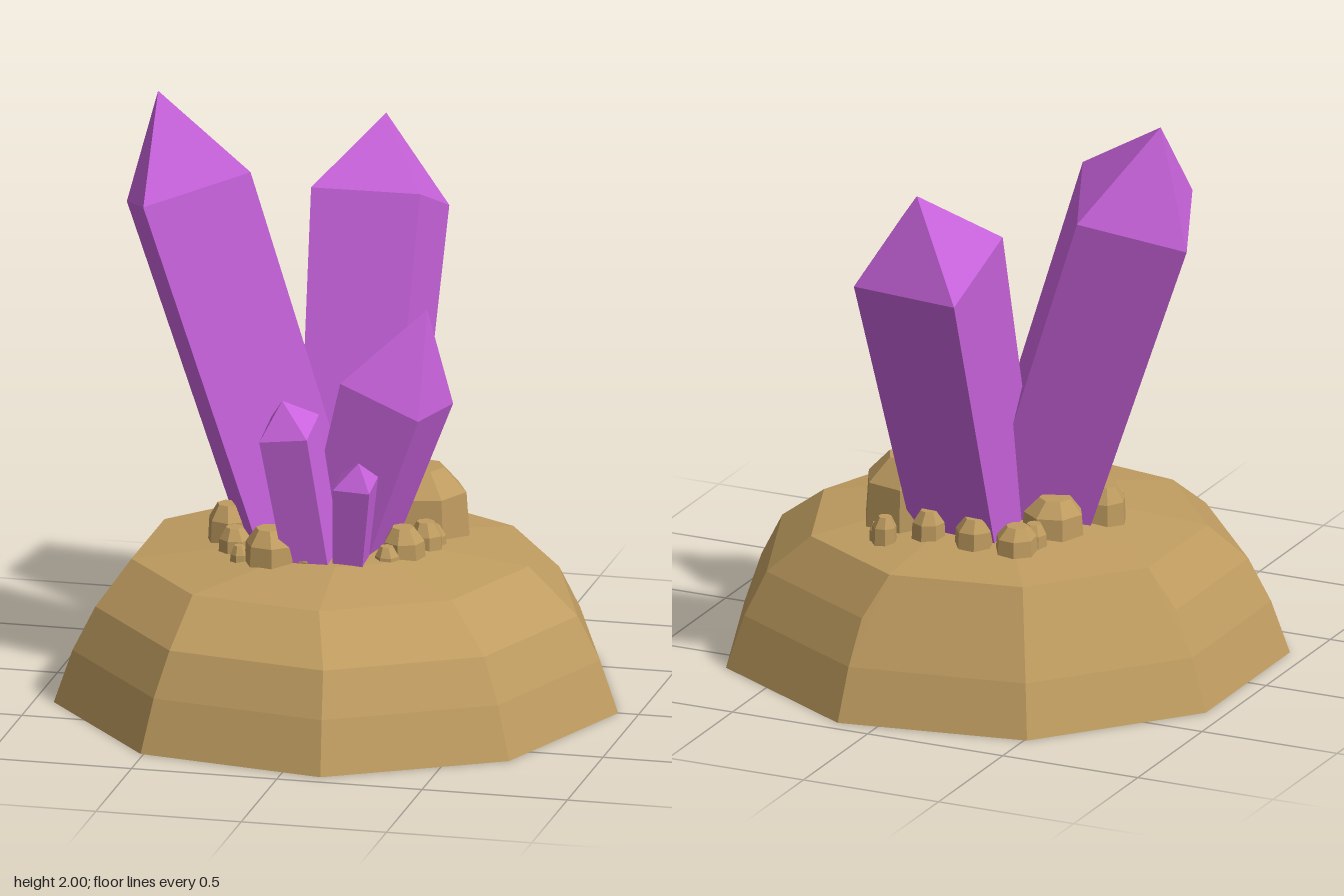
import * as THREE from 'three';
import { ConvexGeometry } from 'three/addons/geometries/ConvexGeometry.js';

const V = (x, y, z) => new THREE.Vector3(x, y, z);

// Points of a horizontal regular polygon
function ring(sides, radius, cx, y, cz, turn = 0) {
  return Array.from({ length: sides }, (_, i) => {
    const a = turn + (i / sides) * Math.PI * 2;
    return V(cx + radius * Math.cos(a), y, cz + radius * Math.sin(a));
  });
}

export function createModel() {
  const model = new THREE.Group();
  const stone = new THREE.MeshStandardMaterial({ color: 0xbf9c60, flatShading: true });
  stone.name = 'sandstone';
  const purple = new THREE.MeshStandardMaterial({ color: 0xc963dd, flatShading: true });
  purple.name = 'purple crystal';

  function addHull(name, points, material, parent = model) {
    const mesh = new THREE.Mesh(new ConvexGeometry(points), material);
    mesh.name = name;
    parent.add(mesh);
  }

  // Nine-sided mound whose upper rings drift off centre
  addHull('moundBase', [
    ...ring(9, 0.96, -0.03, 0, 0),
    ...ring(9, 0.897, -0.03, 0.18, 0),
    ...ring(9, 0.82, -0.03, 0.33, 0),
    ...ring(9, 0.675, -0.07, 0.47, -0.065),
    ...ring(9, 0.3, -0.03, 0.525, -0.02),
    V(-0.02, 0.545, 0.02),
  ], stone);

  // Four-sided crystals: shoulder centre, two half diagonals, foot centre, foot scale and tip
  const crystals = [
    ['leftCrystal', [-0.585, 1.685, -0.15], [-0.235, -0.095, -0.09], [-0.095, -0.005, 0.25],
      [-0.13, 0.45, -0.01], 0.92, [-0.7, 2, -0.19]],
    ['backCrystal', [-0.038, 1.555, -0.607], [0.198, -0.065, -0.163], [-0.182, -0.075, -0.183],
      [-0.03, 0.45, -0.2], 0.82, [-0.04, 1.82, -0.7]],
    ['rightCrystal', [0.165, 1.058, -0.01], [0.115, -0.04, 0.17], [0.165, -0.058, -0.12],
      [-0.02, 0.45, 0], 0.75, [0.27, 1.36, -0.01]],
    ['smallLeftCrystal', [-0.15, 0.98, 0.215], [0.082, -0.01, 0.087], [-0.082, -0.03, 0.085],
      [-0.07, 0.45, 0.17], 0.9, [-0.17, 1.08, 0.23]],
    ['smallFrontCrystal', [0.083, 0.81, 0.235], [0.063, -0.015, 0.062], [-0.063, -0.01, 0.062],
      [0.05, 0.45, 0.18], 0.75, [0.1, 0.89, 0.26]],
  ];
  for (const [name, c, u, v, foot, scale, tip] of crystals) {
    const points = [V(...tip)];
    for (const half of [u, v]) {
      for (const sign of [1, -1]) {
        points.push(V(...c).addScaledVector(V(...half), sign));
        points.push(V(...foot).addScaledVector(V(...half), sign * scale));
      }
    }
    addHull(name, points, purple);
  }

  // Faceted rocks around the crystal feet: x, z, radius, top height
  const rocks = new THREE.Group();
  rocks.name = 'rocks';
  model.add(rocks);
  const rockData = [
    [0.19, -0.27, 0.165, 0.73], [-0.31, -0.2, 0.11, 0.63], [-0.27, -0.41, 0.075, 0.59],
    [-0.3, -0.34, 0.05, 0.58], [-0.12, -0.42, 0.07, 0.6], [0.05, -0.42, 0.06, 0.6],
    [0.18, -0.49, 0.045, 0.58], [0.215, -0.48, 0.025, 0.55], [-0.41, -0.02, 0.08, 0.63],
    [-0.36, 0.11, 0.06, 0.59], [-0.21, 0.22, 0.095, 0.63], [-0.32, 0.215, 0.035, 0.56],
    [-0.09, 0.23, 0.035, 0.56], [0.21, 0.07, 0.075, 0.62], [0.26, -0.04, 0.06, 0.61],
    [0.27, -0.1, 0.045, 0.58], [0.17, 0.14, 0.045, 0.57],
  ];
  rockData.forEach(([x, z, r, top], i) => {
    const low = 0.46, h = top - low, turn = i * 1.3;
    addHull('rock' + (i + 1), [
      ...ring(7, r, x, low, z, turn),
      ...ring(7, r * 0.92, x, low + h * 0.7, z, turn),
      ...ring(7, r * 0.5, x - r * 0.05, top, z, turn),
    ], stone, rocks);
  });

  return model;
}
